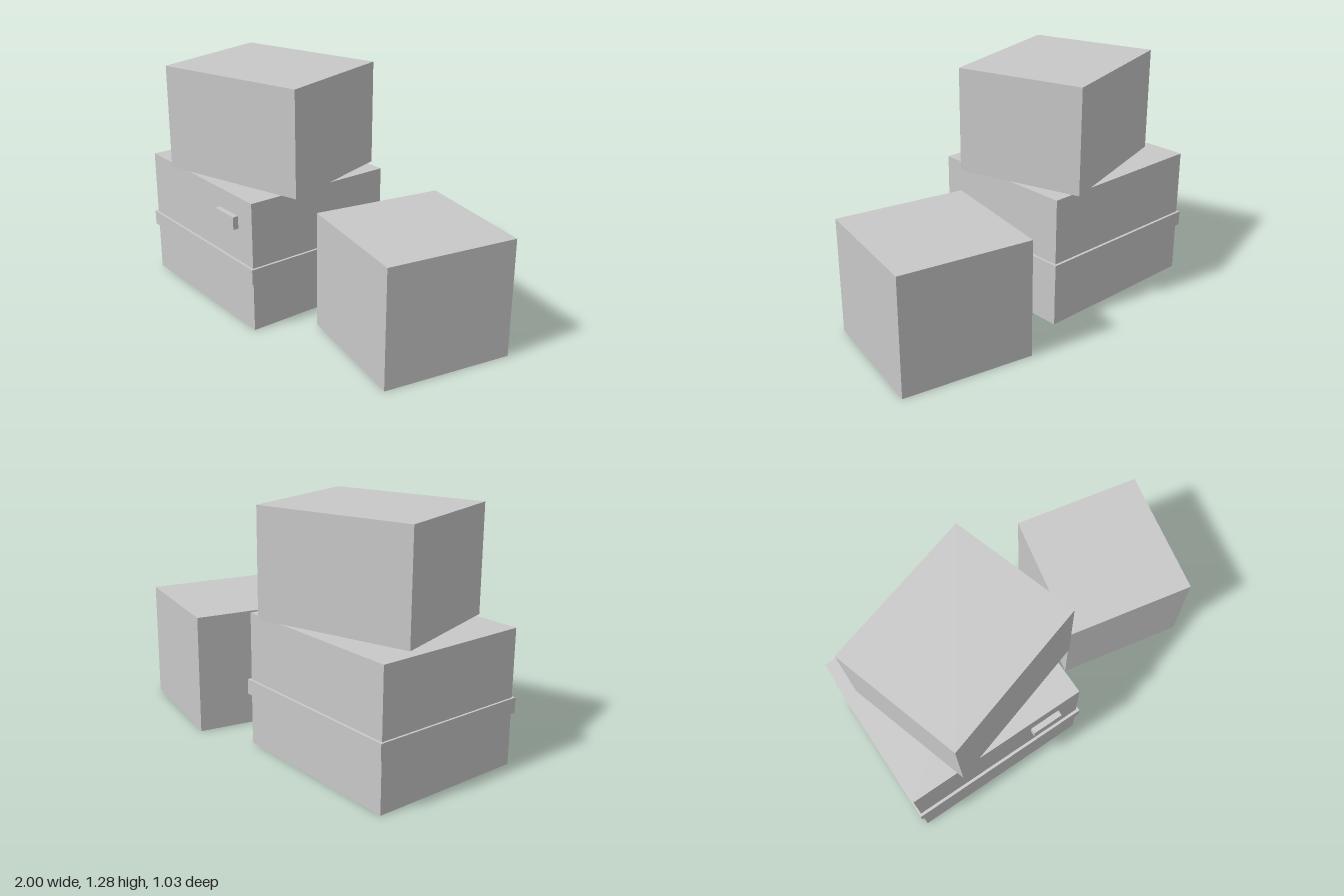
import * as THREE from 'three';

const cardboard = new THREE.MeshStandardMaterial({ color: 0xc8c8c8 });
cardboard.name = 'light grey';

// Box standing with its underside at y, centred on (x, z), turned about y
function addBox(group, name, [w, h, d], [x, y, z], turn = 0) {
  const mesh = new THREE.Mesh(new THREE.BoxGeometry(w, h, d), cardboard);
  mesh.name = name;
  mesh.position.set(x, y + h / 2, z);
  mesh.rotation.y = turn;
  group.add(mesh);
}

export function createModel() {
  const group = new THREE.Group();
  group.name = 'boxStack';

  // Large lower box with its strap and front label
  addBox(group, 'lowerBox', [0.995, 0.713, 0.855], [-0.491, 0, 0.047]);
  addBox(group, 'strap', [1.02, 0.081, 0.885], [-0.49, 0.275, 0.047]);
  addBox(group, 'label', [0.17, 0.07, 0.04], [-0.205, 0.537, 0.485]);

  // Box stacked on top, turned
  addBox(group, 'upperBox', [0.852, 0.569, 0.711], [-0.418, 0.713, 0.046], 0.297);

  // Separate box beside the stack
  addBox(group, 'sideBox', [0.711, 0.64, 0.711], [0.579, 0, -0.097], -0.2);

  return group;
}
